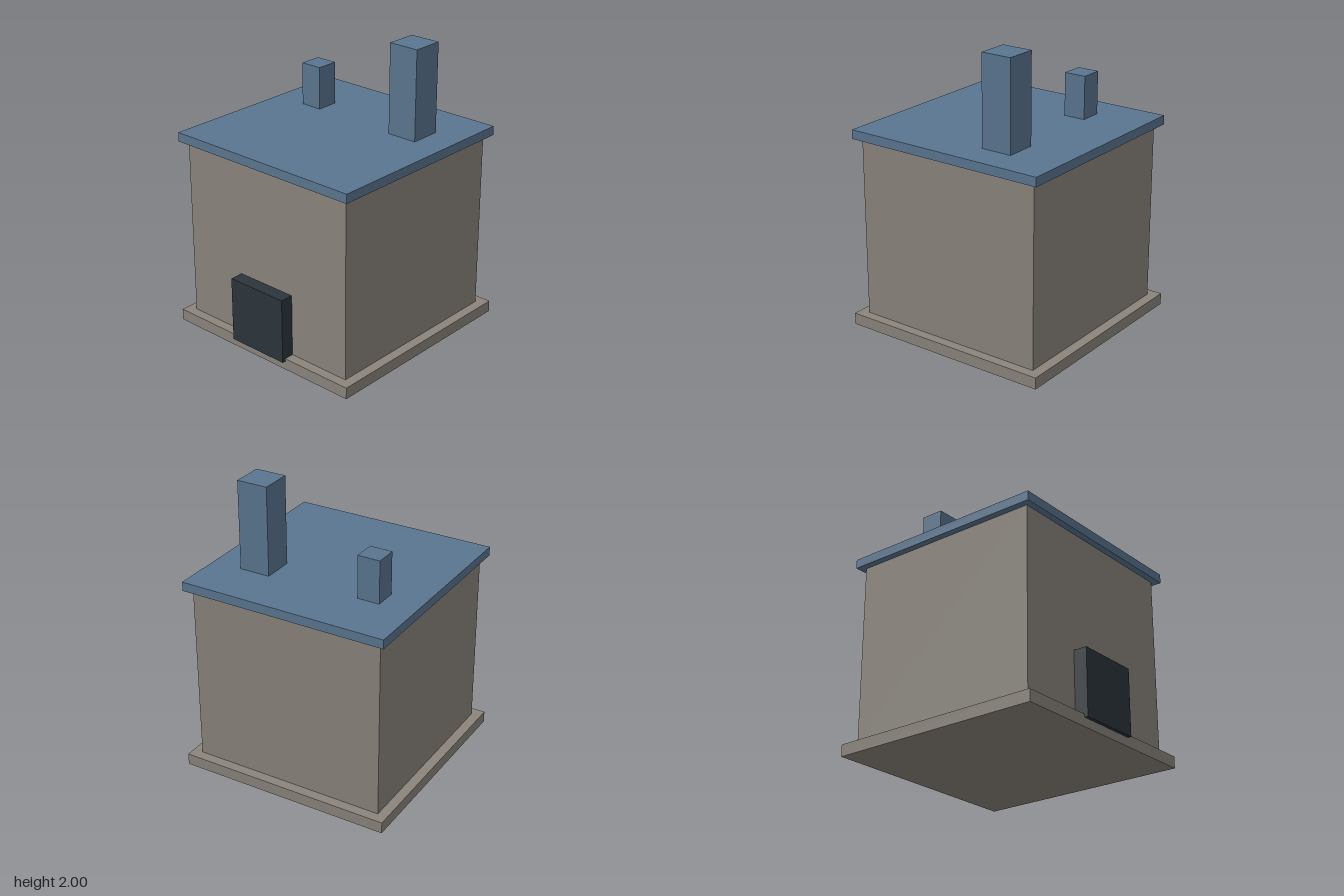
import * as THREE from 'three';

const material = (name, color) => {
  const m = new THREE.MeshStandardMaterial({ color });
  m.name = name;
  return m;
};

export function createModel() {
  const stone = material('warm grey stone', 0x8b857d);
  const slate = material('slate blue', 0x5b7690);
  const dark = material('dark charcoal', 0x2d353c);

  const model = new THREE.Group();
  model.name = 'house';

  // Box between two opposite corners
  const addBox = (name, mat, [x0, y0, z0], [x1, y1, z1]) => {
    const mesh = new THREE.Mesh(new THREE.BoxGeometry(x1 - x0, y1 - y0, z1 - z0), mat);
    mesh.name = name;
    mesh.position.set((x0 + x1) / 2, (y0 + y1) / 2, (z0 + z1) / 2);
    model.add(mesh);
  };

  // Plinth, walls and overhanging flat roof
  addBox('plinth', stone, [-0.75, 0, -0.762], [0.75, 0.08, 0.738]);
  addBox('walls', stone, [-0.682, 0.08, -0.692], [0.682, 1.322, 0.67]);
  addBox('roof', slate, [-0.728, 1.322, -0.74], [0.728, 1.385, 0.716]);

  // Door block standing proud of the front wall
  addBox('door', dark, [-0.226, 0.06, 0.66], [0.226, 0.512, 0.762]);

  // Chimneys
  addBox('tallChimney', slate, [0.3, 1.385, -0.395], [0.516, 2, -0.178]);
  addBox('shortChimney', slate, [-0.49, 1.385, -0.365], [-0.334, 1.68, -0.21]);

  return model;
}
